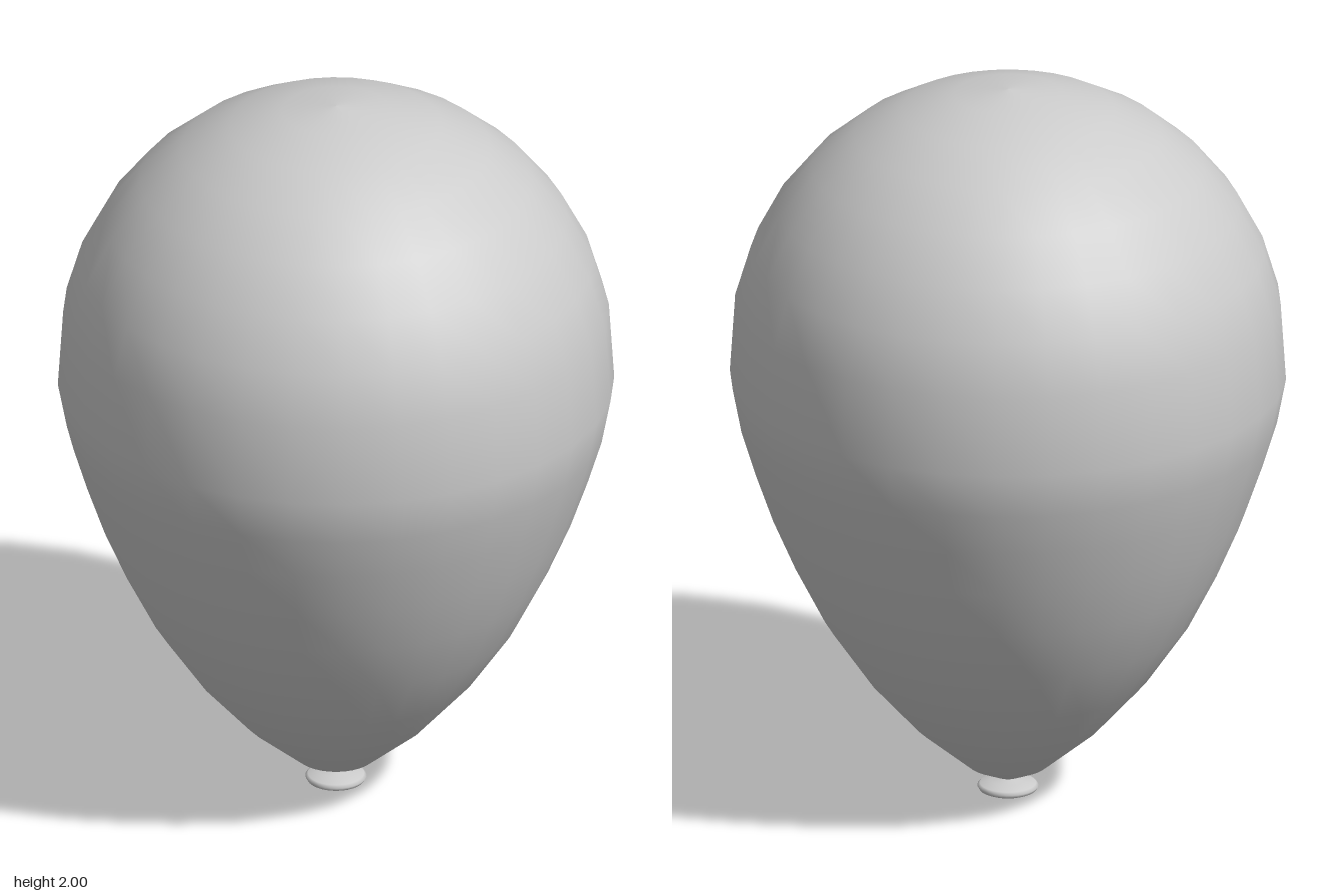
import * as THREE from 'three';

const SEGMENTS = 32;

// Smooth turned part; profile runs bottom to top as [radius, height]
function turned(name, profile, material) {
  const points = profile.map(([r, y]) => new THREE.Vector2(r, y));
  const mesh = new THREE.Mesh(new THREE.LatheGeometry(points, SEGMENTS), material);
  mesh.name = name;
  return mesh;
}

export function createModel() {
  const model = new THREE.Group();
  model.name = 'balloon';
  const rubber = new THREE.MeshStandardMaterial({ color: 0xcccccc, side: THREE.DoubleSide });

  // Tapering lower half, from the neck to the widest ring
  const profile = [
    [0.014, 0.046], [0.04, 0.057], [0.106, 0.088], [0.249, 0.209], [0.376, 0.352],
    [0.488, 0.516], [0.566, 0.67], [0.626, 0.81], [0.673, 0.945], [0.71, 1.065], [0.734, 1.19],
  ];
  // Rounded crown
  for (let i = 7; i >= 0; i--) {
    const a = (i * Math.PI) / 16;
    profile.push([0.734 * Math.sin(a), 1.26 + 0.74 * Math.cos(a)]);
  }
  model.add(turned('balloonBody', profile, rubber));

  // Rolled lip below the neck
  model.add(turned('mouthLip', [
    [0, 0], [0.03, 0.004], [0.06, 0.01], [0.076, 0.017], [0.081, 0.026],
    [0.074, 0.033], [0.045, 0.04], [0.014, 0.046],
  ], rubber));

  return model;
}
